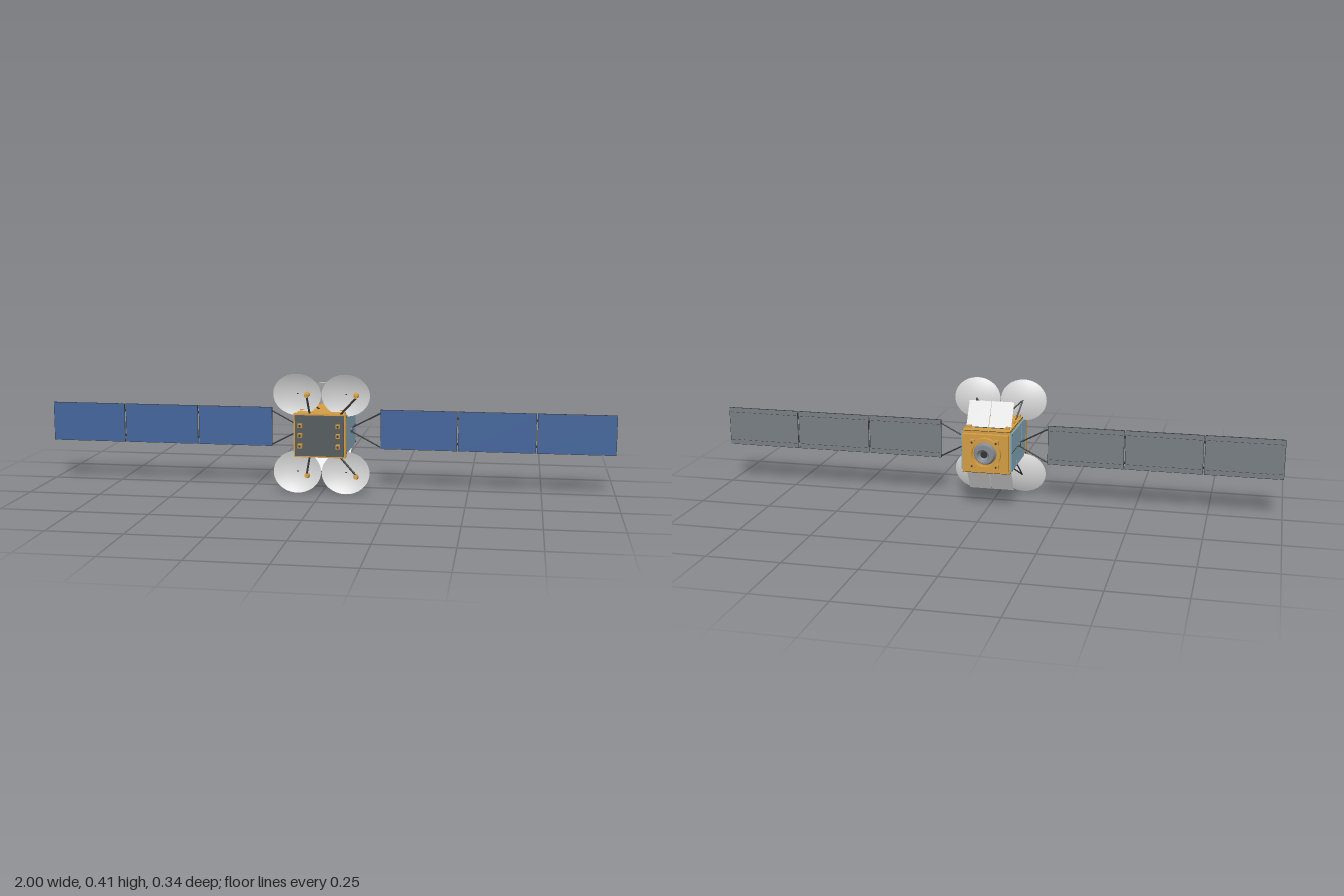
import * as THREE from 'three';

const mat = (name, color, side = THREE.FrontSide) => {
  const m = new THREE.MeshStandardMaterial({ color, side });
  m.name = name;
  return m;
};

export function createModel() {
  const gold = mat('gold foil', 0xd29c42);
  const radiator = mat('pale blue radiator', 0x84a6b8);
  const cell = mat('solar cell blue', 0x41639a);
  const backing = mat('panel backing grey', 0x777d82);
  const white = mat('reflector white', 0xd6d6d6, THREE.DoubleSide);
  const dark = mat('dark strut', 0x303236);
  const slate = mat('slate deck', 0x53595d);
  const metal = mat('engine metal', 0x858a90, THREE.DoubleSide);

  const model = new THREE.Group();
  model.name = 'satellite';
  const craft = new THREE.Group();
  craft.name = 'spacecraft';
  craft.position.y = 0.208;
  model.add(craft);

  const add = (name, geo, material, x = 0, y = 0, z = 0, parent = craft) => {
    const m = new THREE.Mesh(geo, material);
    m.name = name;
    m.position.set(x, y, z);
    parent.add(m);
    return m;
  };
  const box = (name, material, w, h, d, x, y, z, parent) =>
    add(name, new THREE.BoxGeometry(w, h, d), material, x, y, z, parent);
  const strut = (name, a, b, r, material = dark) => {
    const p = new THREE.Vector3(...a), q = new THREE.Vector3(...b);
    const m = add(name, new THREE.CylinderGeometry(r, r, p.distanceTo(q), 8), material);
    m.position.copy(p).add(q).multiplyScalar(0.5);
    m.quaternion.setFromUnitVectors(new THREE.Vector3(0, 1, 0), q.sub(p).normalize());
    return m;
  };
  // Cylinder along z: front radius, rear radius
  const zCyl = (name, material, rFront, rRear, len, x, y, z, open = false) =>
    add(name, new THREE.CylinderGeometry(rFront, rRear, len, 24, 1, open).rotateX(Math.PI / 2), material, x, y, z);

  // Main body
  box('body', gold, 0.166, 0.146, 0.244, 0, 0, 0.004);
  box('frontFrame', gold, 0.178, 0.151, 0.022, 0, 0, 0.137);
  box('rearFrame', gold, 0.16, 0.13, 0.022, 0, 0, -0.123);
  box('frontDeck', slate, 0.168, 0.14, 0.006, 0, 0, 0.151);

  for (const s of [-1, 1]) {
    // Side radiators, seams and corner bolts
    const x = s * 0.0855;
    box('sideRadiator', radiator, 0.006, 0.134, 0.08, x, 0, 0.087);
    box('sideRadiator', radiator, 0.006, 0.134, 0.079, x, 0, 0.0055);
    box('sideRadiator', radiator, 0.006, 0.134, 0.077, x, 0, -0.076);
    box('radiatorSeam', dark, 0.002, 0.0015, 0.096, s * 0.089, 0, -0.066);
    for (const y of [-0.063, 0.063]) for (const z of [0.121, -0.108])
      box('bolt', dark, 0.003, 0.005, 0.005, s * 0.0885, y, z);

    // Top and bottom decks with equipment blocks
    box('deckPlate', gold, 0.164, 0.003, 0.245, 0, s * 0.0745, 0.004);
    box('deckEdge', dark, 0.166, 0.0012, 0.247, 0, s * 0.0742, 0.004);
    for (const bx of [-0.068, 0.068]) for (const z of [0.089, 0.001, -0.085])
      box('equipmentBlock', gold, 0.016, 0.009, 0.016, bx, s * 0.079, z);

    // Feed horns on the front deck
    for (const y of [0.036, 0.003, -0.034]) {
      box('hornBase', gold, 0.014, 0.014, 0.015, s * 0.065, y, 0.162);
      box('hornMouth', dark, 0.008, 0.008, 0.001, s * 0.065, y, 0.1698);
    }

    // Hinged flaps above and below, two leaves each
    for (const k of [-1, 1]) {
      const leaf = box('hingedFlap', white, 0.078, 0.097, 0.0015, k * 0.0398, s * 0.117, -0.055);
      leaf.rotation.x = s * 0.553;
    }
    strut('flapHinge', [-0.07, s * 0.076, -0.08], [0.07, s * 0.076, -0.08], 0.002);
  }

  // Reflector dishes with rear struts and offset feeds
  const profile = [];
  for (let i = 0; i <= 10; i++) profile.push(new THREE.Vector2(0.083 * i / 10, 0.016 * (i / 10) ** 2));
  const dishGeo = new THREE.LatheGeometry(profile, 48).rotateX(Math.PI / 2).scale(1, 0.88, 1);
  for (const s of [-1, 1]) for (const side of [-1, 1]) {
    const cx = side * 0.084;
    const dish = add('reflectorDish', dishGeo, white, cx, s * 0.136, 0.0925);
    dish.rotation.x = s * 0.1;
    box('dishCentre', dark, 0.006, 0.003, 0.002, cx, s * 0.136, 0.0935);
    for (const bx of [0.015, 0.068])
      strut('dishStrut', [cx, s * 0.137, 0.091], [side * bx, s * 0.074, 0.043], 0.0025);

    const fx = cx + 0.04, fy = s * 0.139;
    strut('feedArm', [side < 0 ? -0.035 : 0.07, s * 0.073, 0.14], [fx, s * 0.132, 0.147], 0.0035);
    const feed = zCyl('feedHorn', gold, 0.0065, 0.0095, 0.025, fx, fy, 0.148);
    feed.rotation.x = s * 0.1;
  }

  // Solar wings
  const wingZ = 0.005;
  for (const s of [-1, 1]) {
    zCyl('wingDriveCap', slate, 0.01, 0.01, 0.01, s * 0.09, 0, wingZ).rotation.y = Math.PI / 2;
    for (const k of [-1, 1])
      strut('wingYoke', [s * 0.086, k * 0.004, wingZ], [s * 0.192, k * 0.06, wingZ], 0.0025);
    for (let i = 0; i < 3; i++) {
      const panel = new THREE.Group();
      panel.name = 'solarPanel';
      panel.position.set(s * (0.325 + i * 0.27), 0.003, wingZ);
      craft.add(panel);
      box('panelFrame', dark, 0.266, 0.139, 0.003, 0, 0, 0, panel);
      box('cellFace', cell, 0.263, 0.136, 0.001, 0, 0, 0.0016, panel);
      box('panelBack', backing, 0.263, 0.136, 0.001, 0, 0, -0.0016, panel);
      // Dashed wiring on the rear face
      for (const y of [-0.052, 0.052]) for (let j = 0; j < 12; j++)
        box('wiringDash', dark, 0.011, 0.0015, 0.0005, -0.121 + j * 0.022, y, -0.0022, panel);
      if (i < 2) for (const y of [-0.045, 0.045])
        box('panelHinge', dark, 0.008, 0.008, 0.003, s * 0.135, y, 0, panel);
    }
  }

  // Rear engine: mounting ring, base and bell
  const ring = new THREE.Shape().absarc(0, 0, 0.056, 0, Math.PI * 2);
  ring.holes.push(new THREE.Path().absarc(0, 0, 0.044, 0, Math.PI * 2, true));
  add('mountingRing', new THREE.ExtrudeGeometry(ring, { depth: 0.017, bevelEnabled: false, curveSegments: 24 }),
    gold, 0, 0, -0.15);
  zCyl('engineBase', metal, 0.04, 0.033, 0.016, 0, 0, -0.142);
  const bell = [[0.009, 0], [0.014, 0.004], [0.018, 0.011], [0.022, 0.02]].map(p => new THREE.Vector2(...p));
  add('engineBell', new THREE.LatheGeometry(bell, 32).rotateX(-Math.PI / 2), metal, 0, 0, -0.149);
  zCyl('engineThroat', dark, 0.012, 0.012, 0.002, 0, 0, -0.151);
  for (const x of [-0.042, 0.042]) for (const y of [-0.042, 0.042]) {
    box('thrusterBlock', gold, 0.014, 0.014, 0.016, x, y, -0.142);
    zCyl('thruster', dark, 0.0015, 0.0035, 0.006, x, y, -0.152);
  }
  return model;
}
